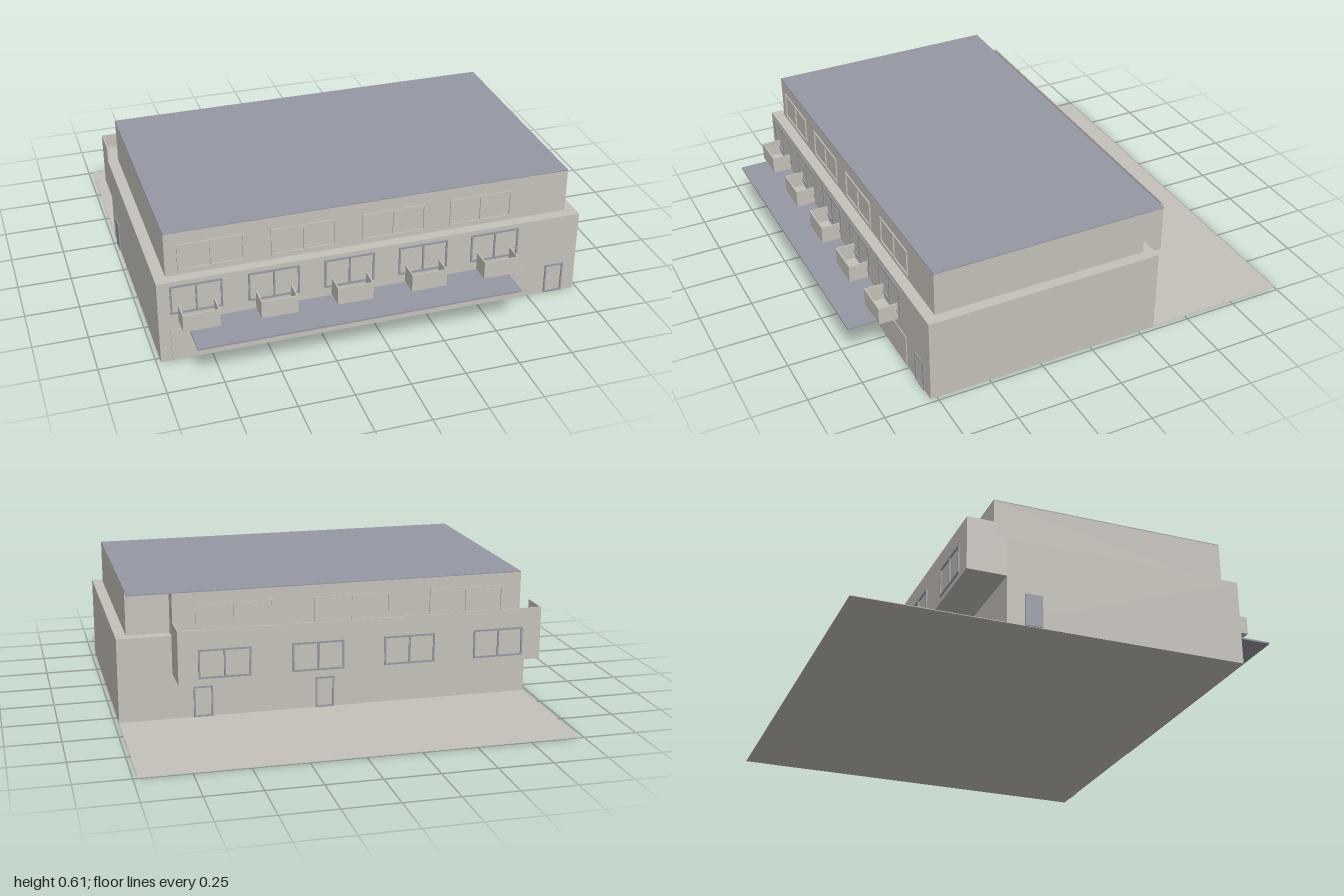
import * as THREE from 'three';

export function createModel() {
  const model = new THREE.Group();
  model.name = 'building';
  const wall = new THREE.MeshStandardMaterial({ color: 0xc5c1ba });
  wall.name = 'warm grey plaster';
  const slate = new THREE.MeshStandardMaterial({ color: 0x9699a3 });
  slate.name = 'slate grey';

  // Box given by its minimum and maximum corners
  function box(name, mat, x0, x1, y0, y1, z0, z1, parent = model) {
    const mesh = new THREE.Mesh(new THREE.BoxGeometry(x1 - x0, y1 - y0, z1 - z0), mat);
    mesh.position.set((x0 + x1) / 2, (y0 + y1) / 2, (z0 + z1) / 2);
    mesh.name = name;
    parent.add(mesh);
    return mesh;
  }

  // Thin frame on a wall at depth z, facing out along dir, with optional mullion
  function frame(name, mat, x0, x1, y0, y1, z, dir, mullion = true) {
    const t = 0.008;
    const outline = (shape, a, b, c, d) =>
      shape.moveTo(a, c).lineTo(b, c).lineTo(b, d).lineTo(a, d).closePath();
    const shape = outline(new THREE.Shape(), x0, x1, y0, y1);
    const mid = (x0 + x1) / 2;
    const panes = mullion ? [[x0 + t, mid - t / 2], [mid + t / 2, x1 - t]] : [[x0 + t, x1 - t]];
    for (const [a, b] of panes) shape.holes.push(outline(new THREE.Path(), a, b, y0 + t, y1 - t));
    const mesh = new THREE.Mesh(new THREE.ExtrudeGeometry(shape, { depth: 0.006, bevelEnabled: false }), mat);
    mesh.position.z = dir > 0 ? z : z - 0.006;
    mesh.name = name;
    model.add(mesh);
  }

  // Ground slab and ground-to-first-floor block
  box('groundSlab', wall, -0.98, 0.98, 0, 0.003, -1, 0.78);
  box('lowerBlock', wall, -0.98, 0.98, 0.001, 0.4, -0.33, 0.78);

  // Top floor with a recessed back corner
  const plan = new THREE.Shape();
  [[-0.93, -0.73], [0.93, -0.73], [0.93, 0.28], [0.73, 0.28], [0.73, 0.37], [-0.93, 0.37]]
    .forEach(([x, y], i) => (i ? plan.lineTo(x, y) : plan.moveTo(x, y)));
  const upper = new THREE.Mesh(new THREE.ExtrudeGeometry(plan, { depth: 0.207, bevelEnabled: false }), wall);
  upper.rotation.x = -Math.PI / 2;
  upper.position.y = 0.4;
  upper.name = 'topFloor';
  model.add(upper);
  box('roof', slate, -0.93, 0.93, 0.606, 0.611, -0.37, 0.73);

  // Projecting rear bay with a terrace parapet
  const w = 0.006;
  box('rearBay', wall, -0.98, 0.73, 0.22, 0.4, -0.51, -0.33);
  box('rearParapet', wall, -0.98, 0.73, 0.4, 0.47, -0.51, -0.51 + w);
  box('rearParapetRightEnd', wall, -0.98, -0.98 + w, 0.4, 0.47, -0.51, -0.37);
  box('rearParapetLeftEnd', wall, 0.73 - w, 0.73, 0.4, 0.47, -0.51, -0.37);

  // Front windows, each with a small open balcony
  for (let i = 0; i < 5; i++) {
    const x = -0.81 + i * 0.344;
    frame('frontWindow', slate, x - 0.115, x + 0.115, 0.24, 0.38, 0.78, 1);
    const balcony = new THREE.Group();
    balcony.name = 'balcony';
    const a = x - 0.082, b = x + 0.082;
    box('balconyFloor', wall, a, b, 0.2, 0.2 + w, 0.78, 0.87, balcony);
    box('balconyFront', wall, a, b, 0.2, 0.283, 0.87 - w, 0.87, balcony);
    box('balconySide', wall, a, a + w, 0.2, 0.283, 0.78, 0.87, balcony);
    box('balconySide', wall, b - w, b, 0.2, 0.283, 0.78, 0.87, balcony);
    model.add(balcony);
  }

  // Canopy, shopfront and doors
  box('canopy', slate, -0.86, 0.61, 0.187, 0.195, 0.78, 1);
  box('shopfront', wall, -0.93, 0.735, 0.004, 0.16, 0.78, 0.784);
  frame('frontDoor', slate, 0.83, 0.92, 0.003, 0.15, 0.78, 1, false);
  box('sideDoor', slate, -0.985, -0.979, 0.003, 0.15, -0.25, -0.17);
  for (const x of [0.015, 0.59]) frame('rearDoor', slate, x - 0.045, x + 0.045, 0.003, 0.15, -0.33, -1, false);

  // Top-floor front windows
  for (let i = 0; i < 4; i++) {
    const x = -0.876 + i * 0.413;
    frame('topFrontWindow', wall, x, x + 0.295, 0.42, 0.55, 0.73, 1);
  }
  // Rear windows of the bay and the top floor
  for (let i = 0; i < 4; i++) {
    const x = -0.89 + i * 0.43;
    frame('rearBayWindow', slate, x, x + 0.24, 0.245, 0.38, -0.51, -1);
  }
  for (let i = 0; i < 3; i++) {
    const x = -0.84 + i * 0.553;
    frame('topRearWindow', wall, x, x + 0.36, 0.42, 0.55, -0.37, -1);
  }
  return model;
}
